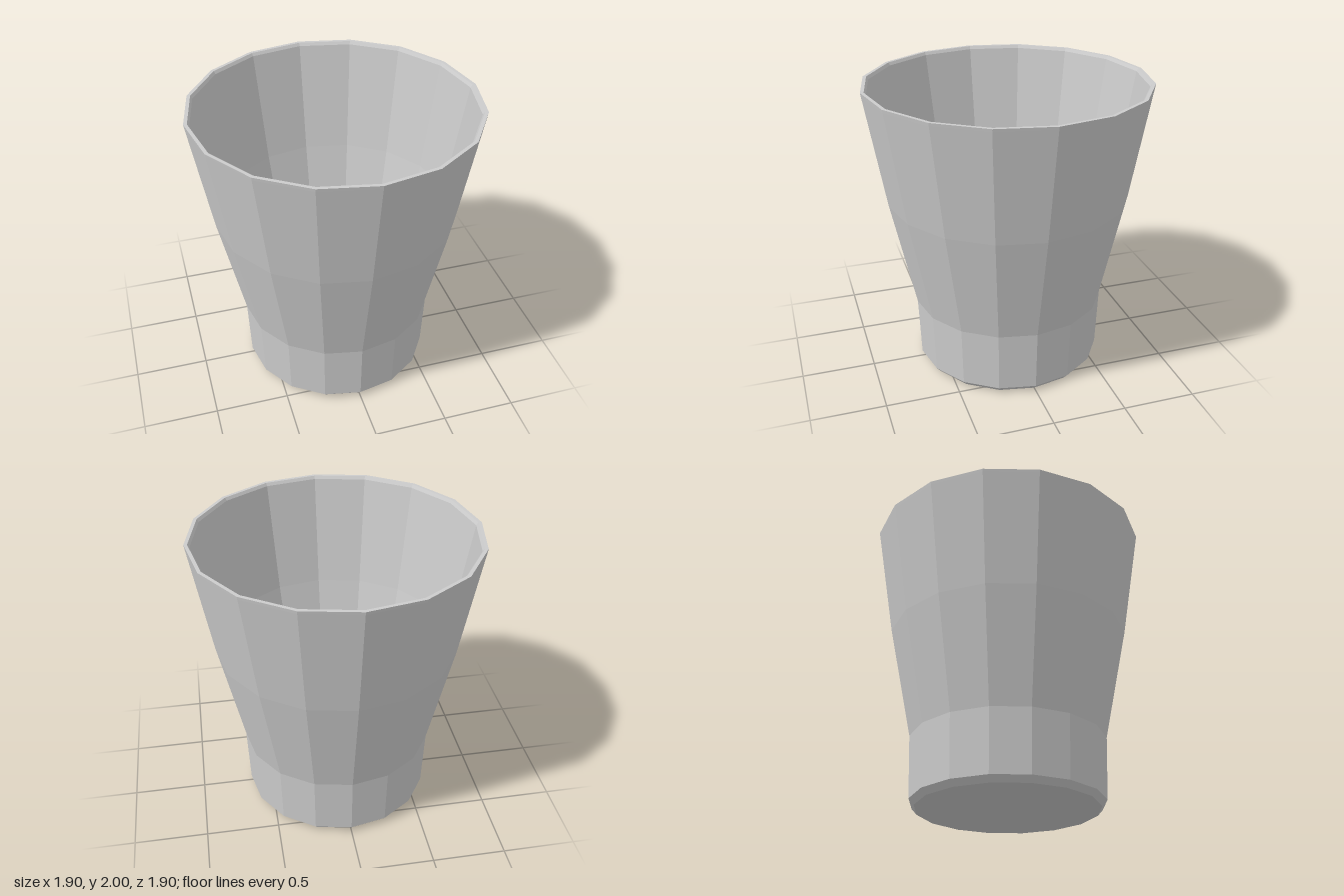
import * as THREE from 'three';

const SIDES = 16;

// Faceted surface of revolution from [radius, height] pairs
function lathe(name, profile, material) {
  const points = profile.map(([r, y]) => new THREE.Vector2(r, y));
  const mesh = new THREE.Mesh(new THREE.LatheGeometry(points, SIDES), material);
  mesh.name = name;
  return mesh;
}

export function createModel() {
  const group = new THREE.Group();
  group.name = 'cup';
  const material = new THREE.MeshStandardMaterial({ color: 0xcccccc, flatShading: true });

  // Base with chamfered foot, short straight band, then the flared body
  group.add(lathe('outerWall', [
    [0, 0], [0.61, 0], [0.645, 0.04], [0.66, 0.46], [0.82, 1.22], [0.947, 1.98],
  ], material));

  // Thin lip, chamfered towards the inside
  group.add(lathe('rim', [
    [0.947, 1.98], [0.95, 2], [0.927, 2], [0.915, 1.98],
  ], material));

  // Hollow inside, running down to a flat floor
  group.add(lathe('innerWall', [
    [0.915, 1.98], [0.79, 1.22], [0.63, 0.46], [0.615, 0.06], [0, 0.06],
  ], material));

  return group;
}
